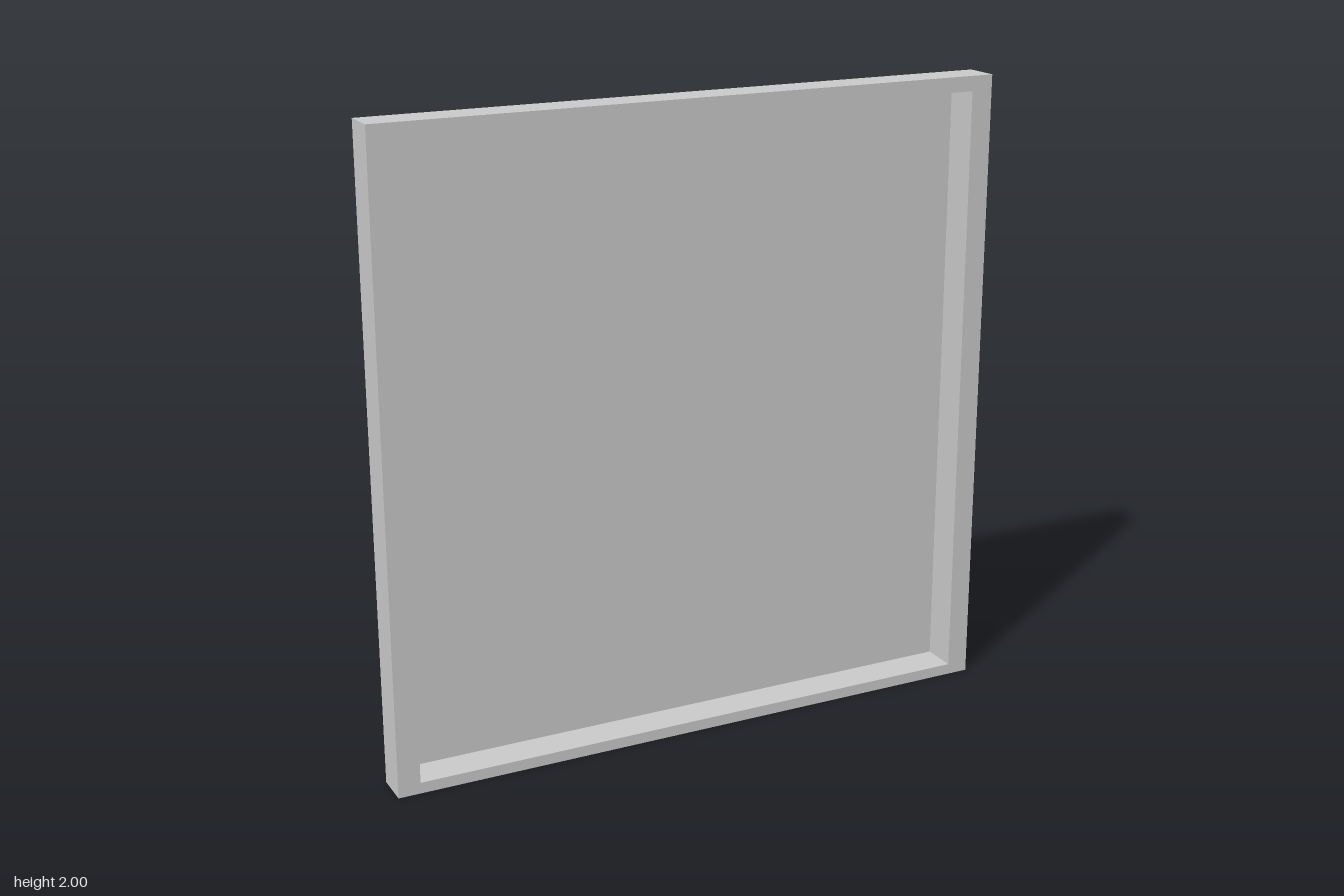
import * as THREE from 'three';
import { mergeGeometries } from 'three/addons/utils/BufferGeometryUtils.js';

const HALF_DEPTH = 0.057;
const OUTER = { x: 1, bottom: 0, top: 2 };
const INNER = { x: 0.93, bottom: 0.035, top: 1.953 };

// Four thin walls running front to back around a rectangle, facing outwards.
function sleeve({ x, bottom, top }) {
  const depth = 2 * HALF_DEPTH, height = top - bottom, midY = (top + bottom) / 2;
  const walls = [];
  for (const s of [-1, 1]) {
    walls.push(new THREE.PlaneGeometry(depth, height).rotateY(s * Math.PI / 2).translate(s * x, midY, 0));
    walls.push(new THREE.PlaneGeometry(2 * x, depth).rotateX(-s * Math.PI / 2).translate(0, s > 0 ? top : bottom, 0));
  }
  return mergeGeometries(walls);
}

function trace(path, { x, bottom, top }) {
  return path.moveTo(-x, bottom).lineTo(x, bottom).lineTo(x, top).lineTo(-x, top).closePath();
}

export function createModel() {
  const group = new THREE.Group();
  group.name = 'shallowTrayPanel';
  const material = new THREE.MeshStandardMaterial({ color: 0xcccccc, side: THREE.DoubleSide });
  const add = (name, geometry) => {
    const mesh = new THREE.Mesh(geometry, material);
    mesh.name = name;
    group.add(mesh);
  };

  // Flat rim on the front with the opening cut out
  const rim = trace(new THREE.Shape(), OUTER);
  rim.holes.push(trace(new THREE.Path(), INNER));
  add('frontRim', new THREE.ShapeGeometry(rim).translate(0, 0, HALF_DEPTH));

  // Outer and inner walls, leaving a channel open at the back
  add('outerWalls', sleeve(OUTER));
  add('innerWalls', sleeve(INNER));

  // Recessed panel closing the inner walls at the back
  add('backPanel', new THREE.ShapeGeometry(trace(new THREE.Shape(), INNER)).translate(0, 0, -HALF_DEPTH));

  return group;
}
